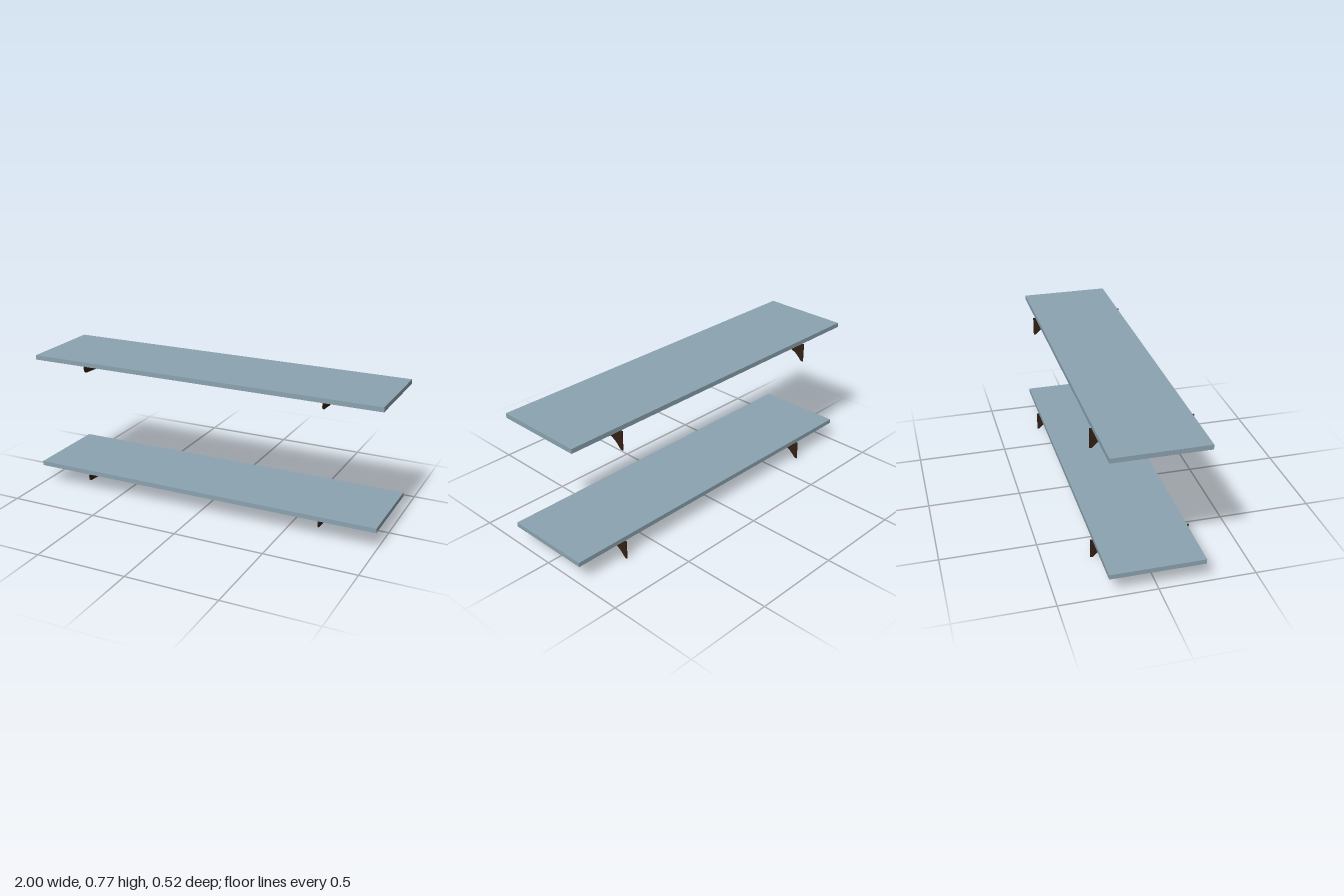
import * as THREE from 'three';

const boardMaterial = new THREE.MeshStandardMaterial({ color: 0x8ba3b0 });
const bracketMaterial = new THREE.MeshStandardMaterial({ color: 0x332014 });
const THICKNESS = 0.005;

// Side profile of a bracket: shape x runs towards the front, y is up
function bracketGeometry() {
  const s = new THREE.Shape();
  s.moveTo(-0.259, 0.105);
  s.lineTo(-0.259, 0);
  s.lineTo(-0.247, 0);
  s.lineTo(-0.215, 0.03);
  s.bezierCurveTo(-0.193, 0.047, -0.17, 0.052, -0.14, 0.055);
  s.lineTo(0.235, 0.075);
  s.bezierCurveTo(0.252, 0.076, 0.259, 0.083, 0.259, 0.097);
  // small upturned lip at the tip
  s.lineTo(0.259, 0.107);
  s.bezierCurveTo(0.259, 0.113, 0.25, 0.113, 0.25, 0.107);
  s.lineTo(0.248, 0.105);
  s.closePath();
  const geo = new THREE.ExtrudeGeometry(s, { depth: THICKNESS, bevelEnabled: false, curveSegments: 10 });
  geo.translate(0, 0, -THICKNESS / 2);
  geo.rotateY(-Math.PI / 2);
  return geo;
}

export function createModel() {
  const model = new THREE.Group();
  model.name = 'wallShelves';
  const boardGeo = new THREE.BoxGeometry(2, 0.025, 0.487);
  const bracketGeo = bracketGeometry();

  // Two identical shelves, one above the other
  [['lowerShelf', 0], ['upperShelf', 0.637]].forEach(([name, y]) => {
    const shelf = new THREE.Group();
    shelf.name = name;
    shelf.position.y = y;

    const board = new THREE.Mesh(boardGeo, boardMaterial);
    board.name = 'board';
    board.position.set(0, 0.1175, -0.0045);
    shelf.add(board);

    [['rightBracket', -0.67], ['leftBracket', 0.7]].forEach(([part, x]) => {
      const bracket = new THREE.Mesh(bracketGeo, bracketMaterial);
      bracket.name = part;
      bracket.position.x = x;
      shelf.add(bracket);
    });
    model.add(shelf);
  });
  return model;
}
